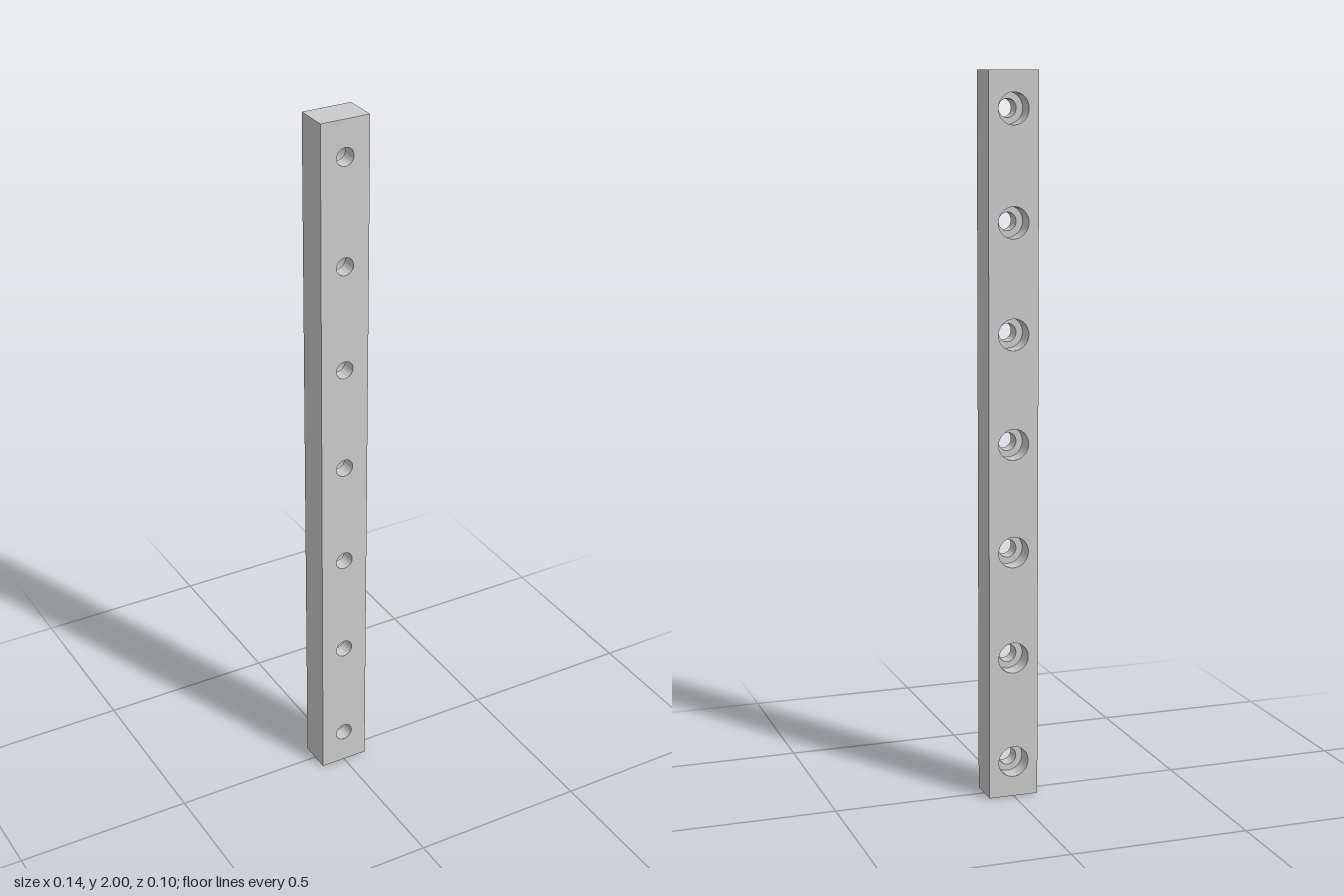
import * as THREE from 'three';
import { toCreasedNormals } from 'three/addons/utils/BufferGeometryUtils.js';

const W = 0.141, H = 2, D = 0.096;         // bar size
const HOLE_R = 0.025, BORE_R = 0.043;      // front hole, rear counterbore
const SHOULDER_Z = 0.004;                  // where the counterbore ends
const HOLES = 7, PITCH = 0.3, SEGMENTS = 40;

const material = new THREE.MeshStandardMaterial({ color: 0xcccccc });
const holeY = (i) => H / 2 + (i - (HOLES - 1) / 2) * PITCH;

// Large bar face pierced by a row of round holes
function piercedFace(radius) {
  const shape = new THREE.Shape();
  shape.moveTo(-W / 2, 0).lineTo(W / 2, 0).lineTo(W / 2, H).lineTo(-W / 2, H).closePath();
  for (let i = 0; i < HOLES; i++) {
    shape.holes.push(new THREE.Path().absarc(0, holeY(i), radius, 0, Math.PI * 2, true));
  }
  return new THREE.ShapeGeometry(shape, SEGMENTS).translate(0, 0, D / 2);
}

export function createModel() {
  const model = new THREE.Group();
  model.name = 'drilledRail';
  const add = (name, geometry) => {
    const mesh = new THREE.Mesh(geometry, material);
    mesh.name = name;
    model.add(mesh);
    return mesh;
  };

  // Front and back faces
  add('frontFace', piercedFace(HOLE_R));
  add('backFace', piercedFace(BORE_R).rotateY(Math.PI));

  // Plain sides and ends
  for (const s of [1, -1]) {
    add(s > 0 ? 'leftSide' : 'rightSide',
      new THREE.PlaneGeometry(D, H).rotateY(s * Math.PI / 2).translate(s * W / 2, H / 2, 0));
    add(s > 0 ? 'topEnd' : 'bottomEnd',
      new THREE.PlaneGeometry(W, D).rotateX(-s * Math.PI / 2).translate(0, s > 0 ? H : 0, 0));
  }

  // Stepped bore walls, running from the front face to the back
  const profile = [
    [HOLE_R, D / 2], [HOLE_R, SHOULDER_Z], [BORE_R, SHOULDER_Z], [BORE_R, -D / 2],
  ].map(([r, z]) => new THREE.Vector2(r, z));
  const bore = toCreasedNormals(
    new THREE.LatheGeometry(profile, SEGMENTS).rotateX(Math.PI / 2), 0.6);
  for (let i = 0; i < HOLES; i++) add('counterboredHole', bore).position.y = holeY(i);

  return model;
}
